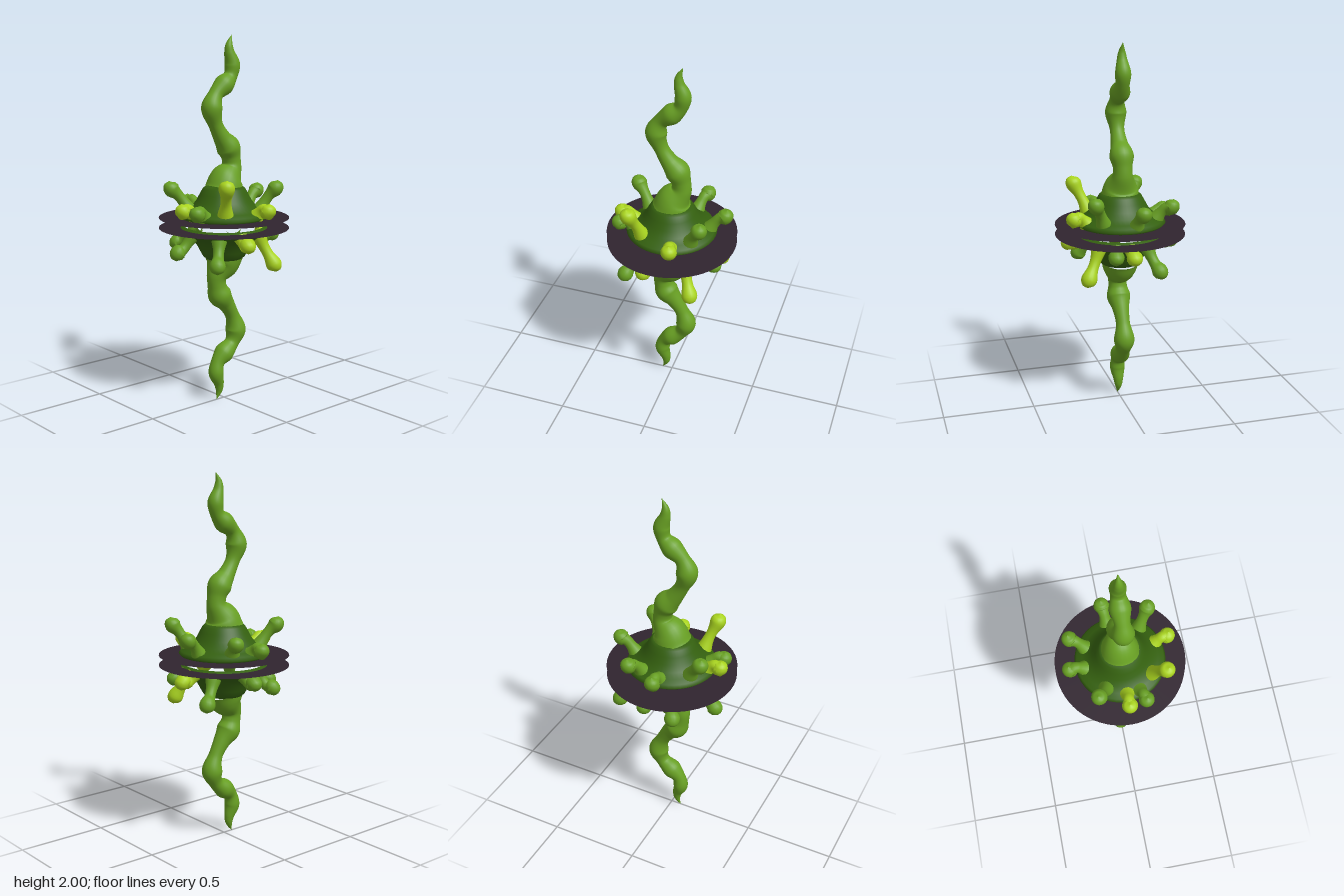
import * as THREE from 'three';

const mat = (name, color, side = THREE.FrontSide) => {
  const m = new THREE.MeshStandardMaterial({ color, side });
  m.name = name;
  return m;
};

// Smooth tube of varying radius along a planar path; side is the normal of that plane
function loft(points, radii, side, steps, sides) {
  const path = new THREE.CatmullRomCurve3(points);
  const n = radii.length - 1;
  const widths = new THREE.CatmullRomCurve3(radii.map((r, i) => new THREE.Vector3(r, i / n, 0)), false, 'catmullrom', 0.5);
  const pos = [], index = [];
  for (let i = 0; i <= steps; i++) {
    const t = i / steps;
    const p = path.getPoint(t), tangent = path.getTangent(t);
    const normal = side.clone().cross(tangent).normalize();
    const r = Math.max(widths.getPoint(t).x, 0.0005);
    for (let j = 0; j < sides; j++) {
      const a = (j / sides) * Math.PI * 2;
      const v = p.clone().addScaledVector(normal, r * Math.cos(a)).addScaledVector(side, r * Math.sin(a));
      pos.push(v.x, v.y, v.z);
      if (i < steps) {
        const k = (j + 1) % sides, b = i * sides, c = b + sides;
        index.push(b + j, b + k, c + j, b + k, c + k, c + j);
      }
    }
  }
  const g = new THREE.BufferGeometry();
  g.setAttribute('position', new THREE.Float32BufferAttribute(pos, 3));
  g.setIndex(index);
  g.computeVertexNormals();
  return g;
}

// Tentacle rows: x, y, radius (y measured from the middle plane)
const TENTACLE = [
  [0, 0.18, 0.105], [0.015, 0.235, 0.09], [0.052, 0.30, 0.056], [0.05, 0.35, 0.052], [0.03, 0.405, 0.065],
  [-0.015, 0.46, 0.047], [-0.06, 0.535, 0.039], [-0.085, 0.62, 0.057], [-0.058, 0.69, 0.04],
  [0.0, 0.74, 0.054], [0.045, 0.785, 0.038], [0.058, 0.845, 0.042], [0.038, 0.91, 0.028],
  [0.036, 0.95, 0.019], [0.055, 1.0, 0.001],
];

// Stalk rows: base x, z; tip x, z; tip height; lime or not
const STALKS = [
  [-0.022, -0.2, -0.025, -0.28, 0.125, false],
  [0.09, -0.175, 0.13, -0.255, 0.175, false],
  [-0.16, -0.105, -0.245, -0.157, 0.23, false],
  [0.2, -0.035, 0.287, -0.05, 0.185, false],
  [0.145, 0.13, 0.21, 0.19, 0.23, false],
  [0.055, 0.2, 0.072, 0.275, 0.125, true],
  [-0.12, 0.15, -0.173, 0.222, 0.265, true],
  [-0.195, 0.07, -0.268, 0.095, 0.125, false],
  [-0.205, 0, -0.287, 0, 0.13, true],
];

function stalkGeometry([bx, bz, tx, tz, ty]) {
  const baseY = 0.31 - 1.2 * Math.hypot(bx, bz);
  const at = (f, y) => new THREE.Vector3(bx + (tx - bx) * f, y, bz + (tz - bz) * f);
  const rise = ty - baseY;
  const points = [at(0, baseY - 0.01), at(0.3, baseY + rise * 0.25), at(0.6, baseY + rise * 0.5),
    at(0.92, ty - 0.045), at(1.04, ty - 0.015), at(1.06, ty)];
  const side = new THREE.Vector3(tz - bz, 0, bx - tx).normalize();
  return loft(points, [0.043, 0.03, 0.03, 0.043, 0.032, 0], side, 20, 20);
}

export function createModel() {
  const bodyGreen = mat('dark green', 0x34600f);
  const leafGreen = mat('leaf green', 0x68a023);
  const lime = mat('lime', 0xa9d41f);
  const plum = mat('dark plum', 0x30242f, THREE.DoubleSide);

  const half = (name) => {
    const group = new THREE.Group();
    group.name = name;
    const add = (part, geometry, material) => {
      const mesh = new THREE.Mesh(geometry, material);
      mesh.name = part;
      group.add(mesh);
      return mesh;
    };

    // Flared dome with a thin lip
    const profile = [[0.215, 0.02], [0.235, 0.027], [0.246, 0.038], [0.235, 0.055], [0.205, 0.068],
      [0.175, 0.09], [0.15, 0.12], [0.132, 0.155], [0.115, 0.185], [0.1, 0.198], [0, 0.2]];
    add('dome', new THREE.LatheGeometry(profile.map(([x, y]) => new THREE.Vector2(x, y)), 48), bodyGreen);

    // Flat collar around the lip
    add('collar', new THREE.RingGeometry(0.232, 0.354, 64).rotateX(-Math.PI / 2), plum).position.y = 0.028;

    // Wavy tentacle
    add('tentacle', loft(TENTACLE.map(([x, y]) => new THREE.Vector3(x, y, 0)), TENTACLE.map((p) => p[2]),
      new THREE.Vector3(0, 0, 1), 110, 24), leafGreen);

    // Bulb-ended stalks
    for (const s of STALKS) add('stalk', stalkGeometry(s), s[5] ? lime : leafGreen);

    group.position.y = 1;
    return group;
  };

  const model = new THREE.Group();
  model.name = 'doubleTentacle';
  const lower = half('lowerHalf');
  lower.rotation.z = Math.PI;
  model.add(half('upperHalf'), lower);
  return model;
}
